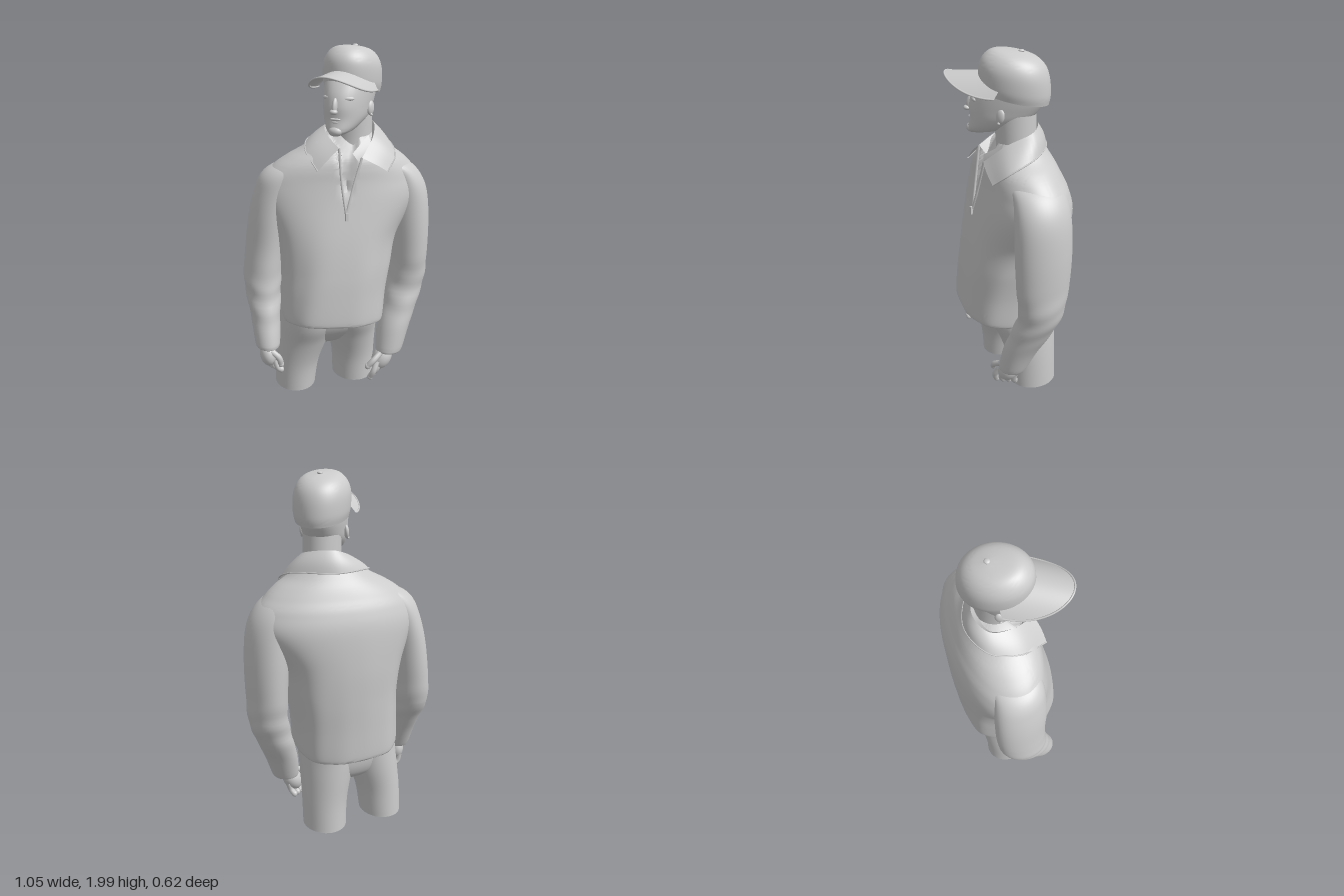
import * as THREE from 'three';
import { toCreasedNormals } from 'three/addons/utils/BufferGeometryUtils.js';

const grey = new THREE.MeshStandardMaterial({ color: 0xcccccc });
const greyThin = new THREE.MeshStandardMaterial({ color: 0xcccccc, side: THREE.DoubleSide });

const spline = (a, b, c, d, t) =>
  0.5 * (2 * b + (c - a) * t + (2 * a - 5 * b + 4 * c - d) * t * t + (3 * b - a - 3 * c + d) * t * t * t);

function add(parent, name, geometry, material = grey) {
  const mesh = new THREE.Mesh(geometry, material);
  mesh.name = name;
  parent.add(mesh);
  return mesh;
}

// Skin horizontal rings listed bottom to top: [x, y, z, radiusX, radiusZ, squareness]
function loft(keys, { seg = 40, steps = 6, power = 2, turn = 0, warp } = {}) {
  const pos = [], index = [], p = new THREE.Vector3();
  const rows = (keys.length - 1) * steps + 1;
  const key = (i) => keys[Math.max(0, Math.min(keys.length - 1, i))];
  const push = (x, y, z, a) => {
    p.set(x, y, z);
    if (warp) warp(p, a);
    pos.push(p.x, p.y, p.z);
  };
  for (let r = 0; r < rows; r++) {
    const i = Math.min(Math.floor(r / steps), keys.length - 2), t = r / steps - i;
    const [x, y, z, rx, rz, square = power] = keys[0].map((_, n) =>
      spline(key(i - 1)[n], key(i)[n], key(i + 1)[n], key(i + 2)[n], t));
    for (let j = 0; j < seg; j++) {
      const a = (j / seg) * Math.PI * 2, c = Math.cos(a), s = Math.sin(a);
      const u = rx * Math.sign(c) * Math.abs(c) ** (2 / square);
      const v = rz * Math.sign(s) * Math.abs(s) ** (2 / square);
      push(x + u * Math.cos(turn) - v * Math.sin(turn), y, z + u * Math.sin(turn) + v * Math.cos(turn), a);
    }
  }
  for (let r = 0; r < rows - 1; r++)
    for (let j = 0; j < seg; j++) {
      const a = r * seg + j, b = r * seg + ((j + 1) % seg);
      index.push(a, a + seg, b, b, a + seg, b + seg);
    }
  const last = key(keys.length), base = rows * seg, top = (rows - 1) * seg;
  push(keys[0][0], keys[0][1], keys[0][2], 0);
  push(last[0], last[1], last[2], 0);
  for (let j = 0; j < seg; j++) {
    const k = (j + 1) % seg;
    index.push(base, j, k, base + 1, top + k, top + j);
  }
  const g = new THREE.BufferGeometry();
  g.setAttribute('position', new THREE.Float32BufferAttribute(pos, 3));
  g.setIndex(index);
  return toCreasedNormals(g, 0.9);
}

// Surface from a rule: fn(u, v) gives a point, u and v run 0 to 1
function patch(fn, nu = 40, nv = 8) {
  const g = new THREE.PlaneGeometry(1, 1, nu, nv), p = g.attributes.position;
  for (let i = 0; i < p.count; i++) {
    const q = fn(p.getX(i) + 0.5, p.getY(i) + 0.5);
    p.setXYZ(i, q.x, q.y, q.z);
  }
  g.computeVertexNormals();
  return g;
}

const path = (pts) => new THREE.CatmullRomCurve3(pts.map((p) => new THREE.Vector3(...p)));
const tube = (pts, r, n = 30) => new THREE.TubeGeometry(path(pts), n, r, 8);

function ball(parent, name, at, size) {
  const m = add(parent, name, new THREE.SphereGeometry(1, 24, 16));
  m.position.set(...at);
  m.scale.set(...size);
  return m;
}

// Cloth strip between two edge curves, bulging outward from the neck
function cloth(parent, name, fold, edge, bulge) {
  const A = path(fold), B = path(edge);
  add(parent, name, patch((u, v) => {
    const q = A.getPoint(u).lerp(B.getPoint(u), v), k = Math.sin(v * Math.PI) * bulge;
    const out = new THREE.Vector3(q.x - 0.06, 0.04, q.z).normalize();
    return q.addScaledVector(out, k);
  }), greyThin);
  add(parent, name + 'Edge', new THREE.TubeGeometry(B, 50, 0.004, 6));
  return A;
}

function hand(parent, name, palm, size, tilt, fingers) {
  const g = new THREE.Group();
  g.name = name;
  ball(g, 'palm', palm, size).rotation.z = tilt;
  for (const f of fingers) {
    add(g, 'finger', tube(f, 0.017, 12));
    ball(g, 'fingertip', f[f.length - 1], [0.017, 0.019, 0.017]);
  }
  parent.add(g);
}

export function createModel() {
  const model = new THREE.Group();
  model.name = 'figure';

  // Trousers, cut off flat above the knee; the thighs swell into the hips
  add(model, 'hips', loft([[-0.05, 0.285, -0.08, 0.12, 0.09], [-0.05, 0.33, -0.075, 0.23, 0.135],
    [-0.047, 0.42, -0.055, 0.275, 0.18], [-0.045, 0.6, -0.03, 0.28, 0.21]], { power: 2.3 }));
  add(model, 'leftLeg', loft([[0.123, 0, -0.1, 0.122, 0.138], [0.118, 0.16, -0.09, 0.127, 0.145],
    [0.1, 0.32, -0.07, 0.143, 0.17], [0.085, 0.44, -0.045, 0.155, 0.195], [0.08, 0.58, -0.03, 0.155, 0.205]]));
  add(model, 'rightLeg', loft([[-0.245, 0, -0.105, 0.117, 0.138], [-0.232, 0.16, -0.095, 0.127, 0.145],
    [-0.2, 0.32, -0.075, 0.145, 0.17], [-0.182, 0.44, -0.05, 0.155, 0.195], [-0.175, 0.58, -0.035, 0.155, 0.205]]));

  // Jacket body with sloping hem, soft vertical folds and a sunken neck opening
  const jacketWarp = (p, a) => {
    const low = THREE.MathUtils.clamp((0.8 - p.y) / 0.3, 0, 1);
    const soft = THREE.MathUtils.clamp((1.2 - p.y) / 0.4, 0, 1);
    const k = 1 + 0.008 * soft * Math.sin(a * 9 + p.y * 4);
    p.x *= k;
    p.z *= k;
    const rise = Math.max(0, p.y - 1.13);
    if (p.z > 0) p.z -= 0.03 * THREE.MathUtils.smoothstep(rise * 0.2 - Math.abs(p.x + 0.03 - rise * 0.09), 0, 0.025);
    p.y += low * (0.1 * p.z - 0.06 * p.x);
  };
  add(model, 'jacketBody', loft([[-0.045, 0.47, -0.01, 0.28, 0.268, 2.7], [-0.045, 0.49, -0.01, 0.292, 0.28, 2.7],
    [-0.035, 0.65, -0.015, 0.298, 0.28, 2.6], [-0.02, 0.8, -0.022, 0.312, 0.278, 2.5],
    [-0.01, 0.98, -0.035, 0.345, 0.268, 2.4], [0.022, 1.18, -0.045, 0.44, 0.245, 2.2],
    [0.025, 1.29, -0.042, 0.43, 0.224, 2.1], [0.027, 1.36, -0.03, 0.375, 0.205, 2.1],
    [0.035, 1.41, -0.022, 0.31, 0.188, 2.1], [0.045, 1.46, -0.02, 0.225, 0.16, 2.1], [0.055, 1.53, -0.02, 0.14, 0.12, 2]],
  { seg: 128, steps: 8, turn: 0.15, warp: jacketWarp }));

  // Sleeves with creases gathered round the elbow, tops running into the shoulders
  const creases = (cx, cz) => (p, a) => {
    const near = Math.exp(-(((p.y - 0.62) / 0.13) ** 2));
    const k = 1 + 0.03 * near * Math.sin(p.y * 45 + 2.5 * Math.sin(a));
    p.x = cx + (p.x - cx) * k;
    p.z = cz + (p.z - cz) * k;
  };
  add(model, 'leftSleeve', loft([[0.265, 0.235, 0.125, 0.07, 0.072], [0.272, 0.26, 0.122, 0.08, 0.08],
    [0.305, 0.38, 0.095, 0.092, 0.1], [0.352, 0.5, 0.06, 0.1, 0.115], [0.402, 0.65, 0.03, 0.108, 0.125],
    [0.41, 0.8, 0.025, 0.108, 0.148], [0.405, 1.0, 0.022, 0.116, 0.158], [0.39, 1.18, 0.02, 0.116, 0.155],
    [0.35, 1.29, 0.015, 0.112, 0.145], [0.27, 1.36, 0.01, 0.115, 0.13], [0.2, 1.38, 0, 0.08, 0.09]],
  { warp: creases(0.4, 0.03) }));
  add(model, 'rightSleeve', loft([[-0.435, 0.335, 0.02, 0.06, 0.075], [-0.435, 0.36, 0.015, 0.07, 0.085],
    [-0.43, 0.5, -0.035, 0.082, 0.1], [-0.425, 0.65, -0.095, 0.1, 0.125], [-0.42, 0.73, -0.115, 0.105, 0.138],
    [-0.403, 0.9, -0.122, 0.102, 0.145], [-0.38, 1.08, -0.112, 0.1, 0.15], [-0.345, 1.22, -0.1, 0.102, 0.145],
    [-0.3, 1.31, -0.085, 0.11, 0.135], [-0.23, 1.36, -0.07, 0.11, 0.12], [-0.16, 1.38, -0.05, 0.07, 0.08]],
  { warp: creases(-0.42, -0.1) }));

  // Hands
  const leftFingers = [0, 1, 2, 3].map((i) => [[0.18 + i * 0.027, 0.19 - i * 0.003, 0.165 - i * 0.02],
    [0.155 + i * 0.03, 0.135, 0.178 - i * 0.024], [0.14 + i * 0.03, 0.09 + i * 0.006, 0.16 - i * 0.024]]);
  hand(model, 'leftHand', [0.225, 0.195, 0.13], [0.055, 0.08, 0.057], -0.5,
    [...leftFingers, [[0.2, 0.24, 0.165], [0.15, 0.205, 0.18], [0.12, 0.17, 0.17]]]);
  const rightFingers = [0, 1, 2, 3].map((i) => [[-0.445 + i * 0.012, 0.26, -0.005 + i * 0.025],
    [-0.435 + i * 0.014, 0.21, i * 0.027], [-0.405 + i * 0.009, 0.19 + i * 0.003, i * 0.027]]);
  hand(model, 'rightHand', [-0.44, 0.285, 0.035], [0.045, 0.07, 0.06], 0.1,
    [...rightFingers, [[-0.43, 0.32, 0.07], [-0.39, 0.28, 0.09], [-0.378, 0.235, 0.085]]]);

  // Fold-over collar and the stand inside it
  const fold = cloth(model, 'collar',
    [[0.065, 1.43, 0.185], [0.16, 1.53, 0.1], [0.195, 1.585, -0.03], [0.07, 1.6, -0.13],
      [-0.04, 1.56, -0.1], [-0.075, 1.53, 0.02], [-0.05, 1.48, 0.15]],
    [[0.2, 1.35, 0.205], [0.27, 1.42, 0.14], [0.27, 1.48, -0.01], [0.08, 1.49, -0.178],
      [-0.11, 1.49, -0.145], [-0.19, 1.455, 0], [-0.17, 1.37, 0.16]], 0.008);
  add(model, 'collarStand', patch((u, v) => {
    const q = fold.getPoint(u);
    return q.lerp(new THREE.Vector3(0.07, q.y - 0.25, 0), v * 0.3);
  }), greyThin);

  // Shirt collar inside the opening
  cloth(model, 'shirtCollar', [[0.02, 1.45, 0.16], [0.13, 1.53, 0.1]], [[0.07, 1.37, 0.175], [0.14, 1.42, 0.16]], 0.006);

  // Zip edges, pull and pocket welt
  add(model, 'leftZip', tube([[-0.03, 1.13, 0.206], [0.015, 1.28, 0.19], [0.065, 1.43, 0.181]], 0.007));
  add(model, 'rightZip', tube([[-0.03, 1.13, 0.206], [-0.045, 1.3, 0.176], [-0.05, 1.48, 0.15]], 0.007));
  add(model, 'zipPull', new THREE.BoxGeometry(0.014, 0.045, 0.012)).position.set(-0.03, 1.125, 0.215);
  add(model, 'pocketWelt', tube([[0.21, 1.11, 0.2], [0.27, 1.14, 0.186], [0.33, 1.165, 0.162]], 0.008));

  // Head, turned toward the model's right; local +z is the face
  const head = new THREE.Group();
  head.name = 'head';
  head.position.set(0.08, 0, 0);
  head.rotation.y = -0.74;
  model.add(head);
  add(head, 'neck', loft([[0, 1.4, 0, 0.105, 0.11], [0, 1.52, 0, 0.102, 0.106], [0, 1.7, 0.01, 0.102, 0.112]]));
  add(head, 'skull', loft([[0, 1.557, 0.205, 0.032, 0.045], [0, 1.58, 0.16, 0.07, 0.095], [0, 1.635, 0.09, 0.105, 0.155],
    [0, 1.7, 0.06, 0.117, 0.185], [0, 1.77, 0.035, 0.123, 0.19], [0, 1.84, 0.01, 0.125, 0.165],
    [0, 1.9, 0, 0.09, 0.1]], { power: 2.15 }));
  ball(head, 'noseBridge', [0, 1.705, 0.243], [0.014, 0.042, 0.022]).rotation.x = -0.25;
  ball(head, 'noseTip', [0, 1.678, 0.26], [0.021, 0.014, 0.019]);
  ball(head, 'upperLip', [0, 1.638, 0.239], [0.03, 0.008, 0.012]);
  ball(head, 'lowerLip', [0, 1.623, 0.236], [0.026, 0.009, 0.012]);
  ball(head, 'chinBeard', [0, 1.577, 0.235], [0.038, 0.027, 0.03]);
  for (const s of [-1, 1]) {
    ball(head, 'brow', [s * 0.05, 1.74, 0.207], [0.038, 0.013, 0.015]).rotation.y = s * 0.4;
    ball(head, 'ear', [s * 0.12, 1.675, 0.055], [0.014, 0.037, 0.024]).rotation.set(-0.2, s * -0.35, 0);
    ball(head, 'earring', [s * 0.127, 1.642, 0.062], [0.008, 0.008, 0.008]);
  }

  // Cap: crown leaning back, button and arched brim
  add(head, 'capCrown', loft([[0, 1.753, 0.01, 0.138, 0.176], [0, 1.8, 0.01, 0.148, 0.184], [0, 1.88, 0.01, 0.147, 0.178],
    [0, 1.935, 0.005, 0.125, 0.152], [0, 1.968, 0, 0.085, 0.105], [0, 1.982, -0.02, 0.015, 0.02]],
  { seg: 48, warp: (p) => { p.y += 0.2 * p.z; } }));
  ball(head, 'capButton', [0, 1.979, -0.025], [0.015, 0.008, 0.015]);
  const brim = (u, v) => {
    const a = (u * 2 - 1) * 1.25, b = (u * 2 - 1) * Math.PI / 2;
    const x = THREE.MathUtils.lerp(0.148 * Math.sin(a), 0.165 * Math.sin(b), v);
    const z = THREE.MathUtils.lerp(0.185 * Math.cos(a), 0.075 + 0.295 * Math.cos(b) ** 0.9, v);
    return new THREE.Vector3(x, 1.872 - 0.08 * (x / 0.155) ** 2 - 0.01 * v, z);
  };
  add(head, 'capBrim', patch(brim), greyThin);
  const rim = Array.from({ length: 25 }, (_, i) => brim(i / 24, 1).toArray());
  add(head, 'capBrimEdge', tube(rim, 0.005, 60));

  return model;
}
